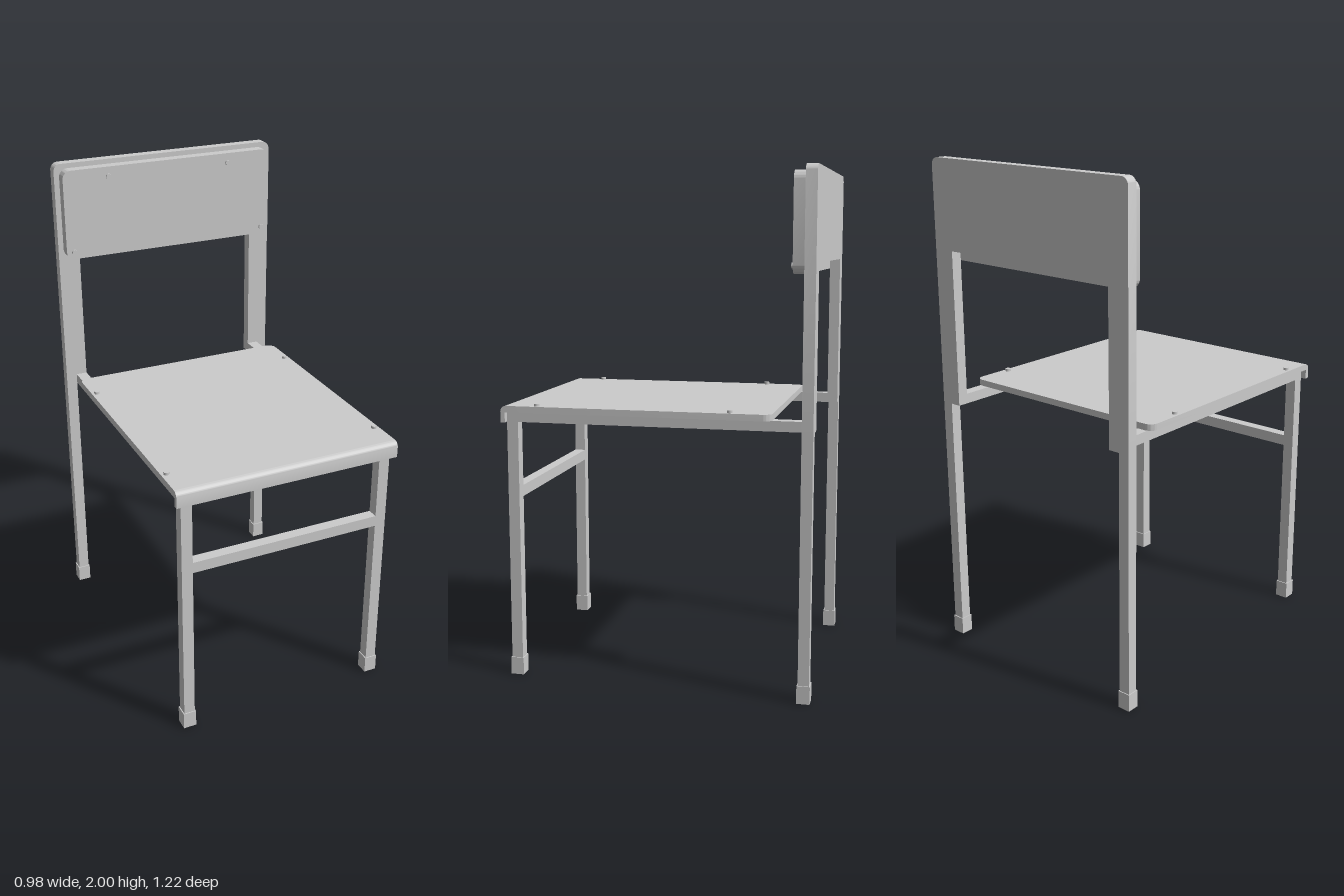
import * as THREE from 'three';
import { toCreasedNormals } from 'three/addons/utils/BufferGeometryUtils.js';

const material = new THREE.MeshStandardMaterial({ color: 0xcccccc });

export function createModel() {
  const chair = new THREE.Group();
  chair.name = 'chair';

  const add = (name, geometry) => {
    const mesh = new THREE.Mesh(geometry, material);
    mesh.name = name;
    chair.add(mesh);
    return mesh;
  };

  // Box given by its extents on each axis
  const box = (name, [x0, x1], [y0, y1], [z0, z1]) =>
    add(name, new THREE.BoxGeometry(x1 - x0, y1 - y0, z1 - z0))
      .position.set((x0 + x1) / 2, (y0 + y1) / 2, (z0 + z1) / 2);

  // Rectangle with separate radii for its bottom and top corners
  const roundedRect = (x0, x1, y0, y1, rBottom, rTop) => {
    const s = new THREE.Shape();
    s.moveTo(x0 + rBottom, y0);
    s.lineTo(x1 - rBottom, y0);
    if (rBottom) s.absarc(x1 - rBottom, y0 + rBottom, rBottom, -Math.PI / 2, 0);
    s.lineTo(x1, y1 - rTop);
    if (rTop) s.absarc(x1 - rTop, y1 - rTop, rTop, 0, Math.PI / 2);
    s.lineTo(x0 + rTop, y1);
    if (rTop) s.absarc(x0 + rTop, y1 - rTop, rTop, Math.PI / 2, Math.PI);
    s.lineTo(x0, y0 + rBottom);
    if (rBottom) s.absarc(x0 + rBottom, y0 + rBottom, rBottom, Math.PI, Math.PI * 1.5);
    return s;
  };

  const extrude = (shape, depth) => toCreasedNormals(
    new THREE.ExtrudeGeometry(shape, { depth, bevelEnabled: false, curveSegments: 8 }), 0.6);

  // Legs, feet and side rails, mirrored
  for (const s of [-1, 1]) {
    const side = s > 0 ? 'left' : 'right';
    const span = (a, b) => (s > 0 ? [a, b] : [-b, -a]);
    box(side + 'FrontLeg', span(0.395, 0.44), [0.07, 1.03], [0.55, 0.595]);
    box(side + 'FrontFoot', span(0.391, 0.444), [0, 0.07], [0.546, 0.599]);
    box(side + 'BackLeg', span(0.44, 0.485), [0.07, 1.03], [-0.608, -0.565]);
    box(side + 'BackFoot', span(0.436, 0.489), [0, 0.07], [-0.612, -0.561]);
    box(side + 'SideRail', span(0.395, 0.44), [1.03, 1.07], [-0.565, 0.595]);
  }

  // Cross bars between the front legs
  box('frontStretcher', [-0.395, 0.395], [0.725, 0.77], [0.55, 0.595]);
  box('frontRail', [-0.395, 0.395], [1.03, 1.07], [0.55, 0.595]);

  // Back frame: wide uprights and top panel in one piece
  const frame = new THREE.Shape();
  frame.moveTo(-0.485, 1.03);
  frame.lineTo(-0.395, 1.03);
  frame.lineTo(-0.395, 1.65);
  frame.lineTo(0.395, 1.65);
  frame.lineTo(0.395, 1.03);
  frame.lineTo(0.485, 1.03);
  frame.lineTo(0.485, 1.97);
  frame.absarc(0.455, 1.97, 0.03, 0, Math.PI / 2);
  frame.lineTo(-0.455, 2);
  frame.absarc(-0.455, 1.97, 0.03, Math.PI / 2, Math.PI);
  add('backFrame', extrude(frame, 0.043)).position.z = -0.608;

  // Backrest board
  add('backrest', extrude(roundedRect(-0.463, 0.463, 1.61, 1.98, 0.035, 0.035), 0.045))
    .position.z = -0.565;

  // Seat board with rounded rear corners
  const seat = add('seat', extrude(roundedRect(-0.463, 0.463, -0.59, 0.45, 0, 0.035), 0.025));
  seat.rotation.x = -Math.PI / 2;
  seat.position.y = 1.07;

  // Rolled lip along the front of the seat (profile in z, y)
  const lip = new THREE.Shape();
  lip.moveTo(0.59, 1.07);
  lip.lineTo(0.595, 1.07);
  lip.lineTo(0.595, 1.03);
  lip.lineTo(0.613, 1.03);
  lip.lineTo(0.613, 1.072);
  lip.absarc(0.59, 1.072, 0.023, 0, Math.PI / 2);
  lip.lineTo(0.59, 1.07);
  const lipMesh = add('seatLip', extrude(lip, 0.926));
  lipMesh.rotation.y = -Math.PI / 2;
  lipMesh.position.x = 0.463;

  // Screw heads on the seat and the backrest
  const screw = new THREE.CylinderGeometry(0.011, 0.011, 0.02, 20);
  for (const s of [-1, 1]) {
    for (const z of [-0.29, 0.47]) add('seatScrew', screw).position.set(s * 0.442, 1.095, z);
    for (const [x, y] of [[0.268, 1.94], [0.43, 1.64]]) {
      const head = add('backrestScrew', screw);
      head.rotation.x = Math.PI / 2;
      head.position.set(s * x, y, -0.522);
    }
  }

  return chair;
}
